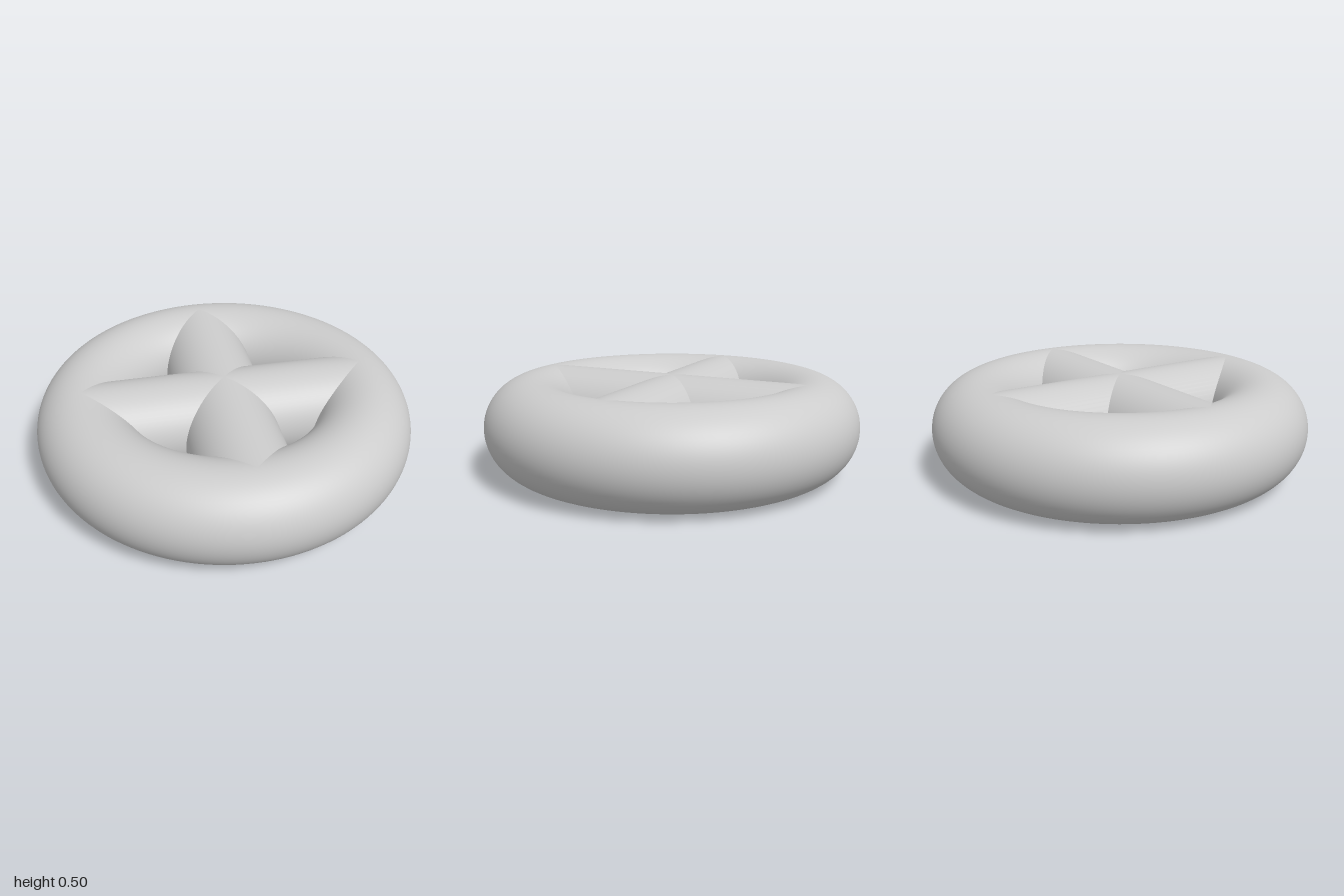
import * as THREE from 'three';

export function createModel() {
  const group = new THREE.Group();
  const grey = new THREE.MeshStandardMaterial({ color: 0xcccccc });
  grey.name = 'light grey';
  const ringRadius = 0.75;
  const tubeRadius = 0.25;

  // Thick round rim lying flat
  const rim = new THREE.Mesh(new THREE.TorusGeometry(ringRadius, tubeRadius, 64, 128), grey);
  rim.name = 'rim';
  rim.rotation.x = Math.PI / 2;
  rim.position.y = tubeRadius;
  group.add(rim);

  // Two crossed round bars whose ends are buried in the rim
  const barGeometry = new THREE.CylinderGeometry(tubeRadius, tubeRadius, ringRadius * 2, 64);
  barGeometry.rotateZ(Math.PI / 2);
  for (const side of [-1, 1]) {
    const bar = new THREE.Mesh(barGeometry, grey);
    bar.name = side < 0 ? 'crossBarA' : 'crossBarB';
    bar.rotation.y = side * Math.PI / 4;
    bar.position.y = tubeRadius;
    group.add(bar);
  }

  return group;
}
